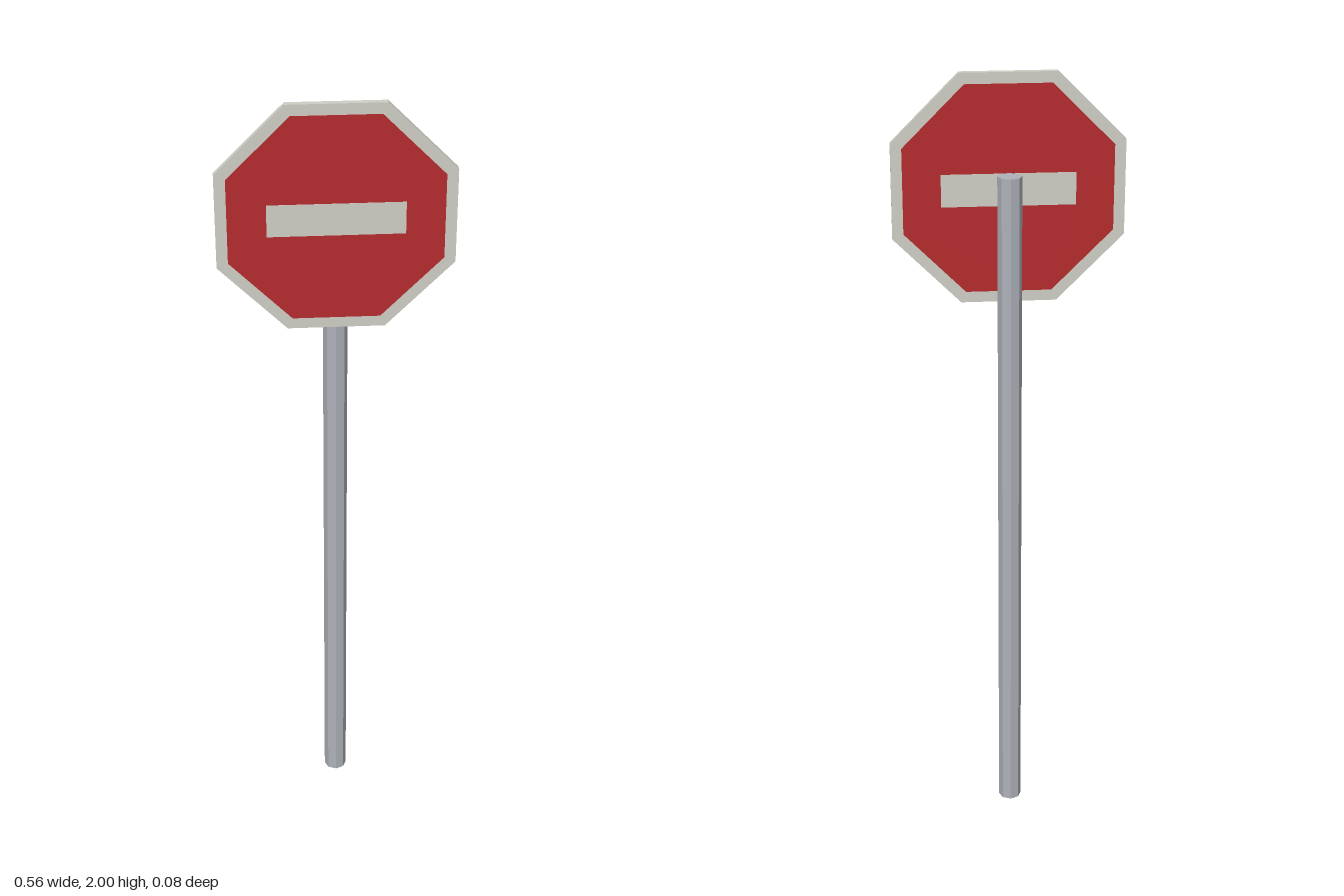
import * as THREE from 'three';

const mat = (name, color) => new THREE.MeshStandardMaterial({ name, color });

// Slab with a flat outline, centred on z = 0
function slab(name, points, depth, material) {
  const shape = new THREE.Shape(points.map(([x, y]) => new THREE.Vector2(x, y)));
  const geometry = new THREE.ExtrudeGeometry(shape, { depth, bevelEnabled: false });
  geometry.translate(0, 0, -depth / 2);
  const mesh = new THREE.Mesh(geometry, material);
  mesh.name = name;
  return mesh;
}

// Octagon with flat sides: r = half width, c = half edge length
const octagon = (r, c) => [
  [r, -c], [r, c], [c, r], [-c, r], [-r, c], [-r, -c], [-c, -r], [c, -r],
];

export function createModel() {
  const red = mat('signRed', 0xb52b2d);
  const white = mat('signWhite', 0xcfcfc6);
  const steel = mat('poleGrey', 0xaeb2b9);
  steel.flatShading = true;

  const model = new THREE.Group();
  model.name = 'roadSign';

  // Eight-sided pole behind the board
  const pole = new THREE.Mesh(new THREE.CylinderGeometry(0.03, 0.03, 1.76, 8), steel);
  pole.name = 'pole';
  pole.position.set(0, 0.88, -0.01);
  model.add(pole);

  // Board: the inner layers stand slightly proud on both faces
  const board = new THREE.Group();
  board.name = 'signBoard';
  board.position.set(0, 1.719, 0.0285);
  board.add(slab('whiteRim', octagon(0.282, 0.117), 0.016, white));
  board.add(slab('redPanel', octagon(0.255, 0.105), 0.0175, red));
  const w = 0.163, h = 0.04;
  board.add(slab('whiteBar', [[-w, -h], [w, -h], [w, h], [-w, h]], 0.019, white));
  model.add(board);

  return model;
}
